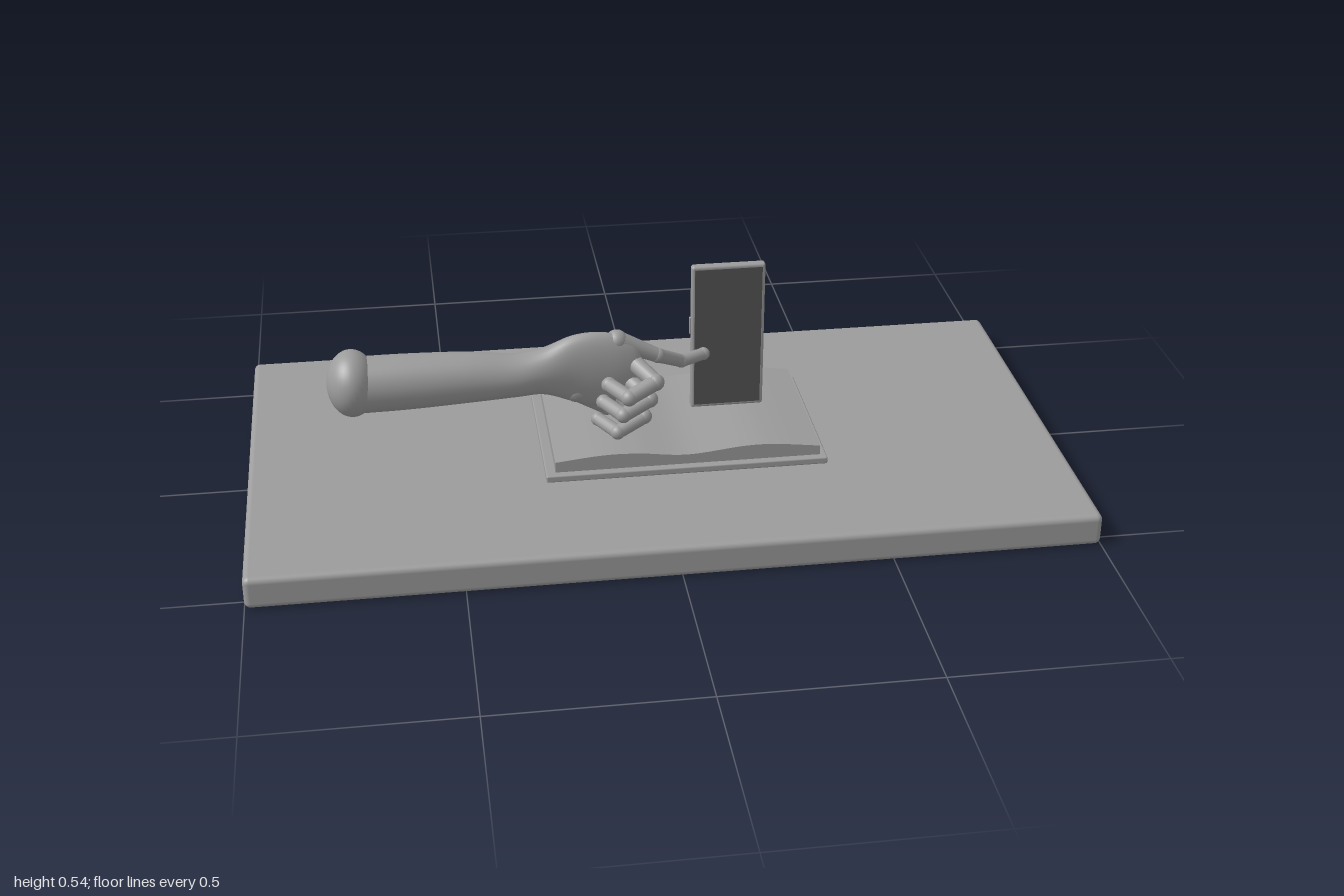
import * as THREE from 'three';
import { RoundedBoxGeometry } from 'three/addons/geometries/RoundedBoxGeometry.js';

const clay = new THREE.MeshStandardMaterial({ color: 0x9c9c9c });
clay.name = 'clay grey';
const glass = new THREE.MeshStandardMaterial({ color: 0x555555 });
glass.name = 'dark glass';

const V = (x, y, z) => new THREE.Vector3(x, y, z);

function add(parent, name, geometry, x = 0, y = 0, z = 0, material = clay) {
  const mesh = new THREE.Mesh(geometry, material);
  mesh.name = name;
  mesh.position.set(x, y, z);
  parent.add(mesh);
  return mesh;
}

function group(parent, name) {
  const g = new THREE.Group();
  g.name = name;
  parent.add(g);
  return g;
}

// Rounded box given by its size and centre
const box = (w, h, d, r) => new RoundedBoxGeometry(w, h, d, 3, r);

// Finger: tapered bones with a ball at every joint; joints are [x, y, z, radius]
function finger(parent, name, joints) {
  const g = group(parent, name);
  joints.forEach(([x, y, z, r], i) => {
    add(g, 'joint', new THREE.SphereGeometry(r, 16, 12), x, y, z);
    if (i === 0) return;
    const [px, py, pz, pr] = joints[i - 1];
    const a = V(px, py, pz), b = V(x, y, z);
    const bone = add(g, 'bone', new THREE.CylinderGeometry(r * 0.93, pr * 0.93, a.distanceTo(b), 16, 1, true));
    bone.position.copy(a).lerp(b, 0.5);
    bone.quaternion.setFromUnitVectors(V(0, 1, 0), b.sub(a).normalize());
  });
}

// Smooth skin through oval sections along x; each is [x, y, z, radiusY, radiusZ]
function skin(sections) {
  const curves = [0, 1].map(k => new THREE.CatmullRomCurve3(
    sections.map(s => k ? V(s[0], s[3], s[4]) : V(s[0], s[1], s[2]))));
  const rows = 48, sides = 32, pos = [], index = [];
  for (let i = 0; i <= rows; i++) {
    const c = curves[0].getPoint(i / rows), r = curves[1].getPoint(i / rows);
    for (let j = 0; j <= sides; j++) {
      const a = j / sides * Math.PI * 2;
      pos.push(c.x, c.y + Math.cos(a) * r.y, c.z + Math.sin(a) * r.z);
      if (i < rows && j < sides) {
        const p = i * (sides + 1) + j, q = p + sides + 1;
        index.push(p, p + 1, q, q, p + 1, q + 1);
      }
    }
  }
  const geo = new THREE.BufferGeometry();
  geo.setAttribute('position', new THREE.Float32BufferAttribute(pos, 3));
  geo.setIndex(index);
  // Make sure the faces look outwards
  geo.computeVertexNormals();
  if (geo.attributes.normal.getY(20 * (sides + 1) + 1) < 0) {
    for (let i = 0; i < index.length; i += 3) [index[i], index[i + 1]] = [index[i + 1], index[i]];
    geo.setIndex(index);
    geo.computeVertexNormals();
  }
  return geo;
}

function buildBook(root) {
  const book = group(root, 'book');
  add(book, 'cover', box(0.69, 0.018, 0.432, 0.004), 0.06, 0.096, 0);
  // Page block with a gently waving top
  const shape = new THREE.Shape();
  shape.moveTo(-0.262, 0.109);
  shape.lineTo(0.387, 0.109);
  shape.lineTo(0.387, 0.133);
  shape.splineThru([[0.28, 0.146], [0.2, 0.147], [0.06, 0.134], [-0.06, 0.146], [-0.15, 0.147], [-0.262, 0.136]]
    .map(p => new THREE.Vector2(...p)));
  shape.closePath();
  const pages = new THREE.ExtrudeGeometry(shape, { depth: 0.41, bevelEnabled: false, curveSegments: 30 });
  add(book, 'pages', pages, 0, 0, -0.205);
}

function buildPhone(root) {
  const phone = group(root, 'phone');
  add(phone, 'phoneBody', box(0.182, 0.386, 0.023, 0.007), 0.188, 0.348, 0);
  add(phone, 'screen', new THREE.BoxGeometry(0.166, 0.368, 0.002), 0.188, 0.348, 0.0115, glass);
  add(phone, 'sideButton', box(0.006, 0.045, 0.008, 0.002), 0.096, 0.38, 0);
  // Camera island on the back with its lenses
  add(phone, 'cameraIsland', box(0.072, 0.092, 0.01, 0.004), 0.232, 0.471, -0.015);
  for (const [x, y] of [[0.25, 0.492], [0.25, 0.449], [0.215, 0.471]]) {
    const ring = add(phone, 'lensRing', new THREE.CylinderGeometry(0.015, 0.017, 0.009, 24), x, y, -0.0225);
    ring.rotation.x = -Math.PI / 2;
    const lens = add(phone, 'lens', new THREE.CylinderGeometry(0.01, 0.01, 0.002, 24), x, y, -0.0268, glass);
    lens.rotation.x = -Math.PI / 2;
  }
}

function buildArm(root) {
  const arm = group(root, 'arm');
  add(arm, 'elbowBall', new THREE.SphereGeometry(0.08, 32, 24), -0.732, 0.357, 0.147).scale.x = 0.74;
  add(arm, 'forearmAndPalm', skin([
    [-0.72, 0.35, 0.146, 0.068, 0.066], [-0.6, 0.348, 0.14, 0.067, 0.065],
    [-0.45, 0.345, 0.132, 0.061, 0.06], [-0.34, 0.34, 0.127, 0.053, 0.052],
    [-0.28, 0.344, 0.123, 0.058, 0.046], [-0.21, 0.344, 0.12, 0.086, 0.039],
    [-0.15, 0.338, 0.119, 0.098, 0.036], [-0.09, 0.338, 0.119, 0.086, 0.031],
    [-0.05, 0.336, 0.118, 0.06, 0.023], [-0.035, 0.335, 0.118, 0.002, 0.002]]));
  finger(arm, 'indexFinger', [[-0.1, 0.408, 0.113, 0.027], [0, 0.358, 0.106, 0.019],
    [0.065, 0.316, 0.062, 0.017], [0.125, 0.313, 0.026, 0.016]]);
  // Three curled fingers, one below the other
  ['middleFinger', 'ringFinger', 'littleFinger'].forEach((name, i) => {
    const y = 0.352 - i * 0.045, x = -i * 0.014, r = 0.021 - i * 0.001;
    finger(arm, name, [[-0.06 + x, y, 0.125, r + 0.002], [-0.017 + x, y - 0.02, 0.195, r],
      [-0.085 + x, y - 0.04, 0.228, r - 0.001], [-0.125 + x, y - 0.035, 0.165, r - 0.002]]);
  });
  finger(arm, 'thumb', [[-0.2, 0.29, 0.118, 0.034], [-0.122, 0.217, 0.083, 0.023], [-0.055, 0.232, 0.056, 0.018]]);
}

export function createModel() {
  const root = new THREE.Group();
  root.name = 'handTouchingPhone';
  add(root, 'tabletop', box(2, 0.08, 1.07, 0.015), 0, 0.04, 0);
  buildBook(root);
  buildPhone(root);
  buildArm(root);
  return root;
}
